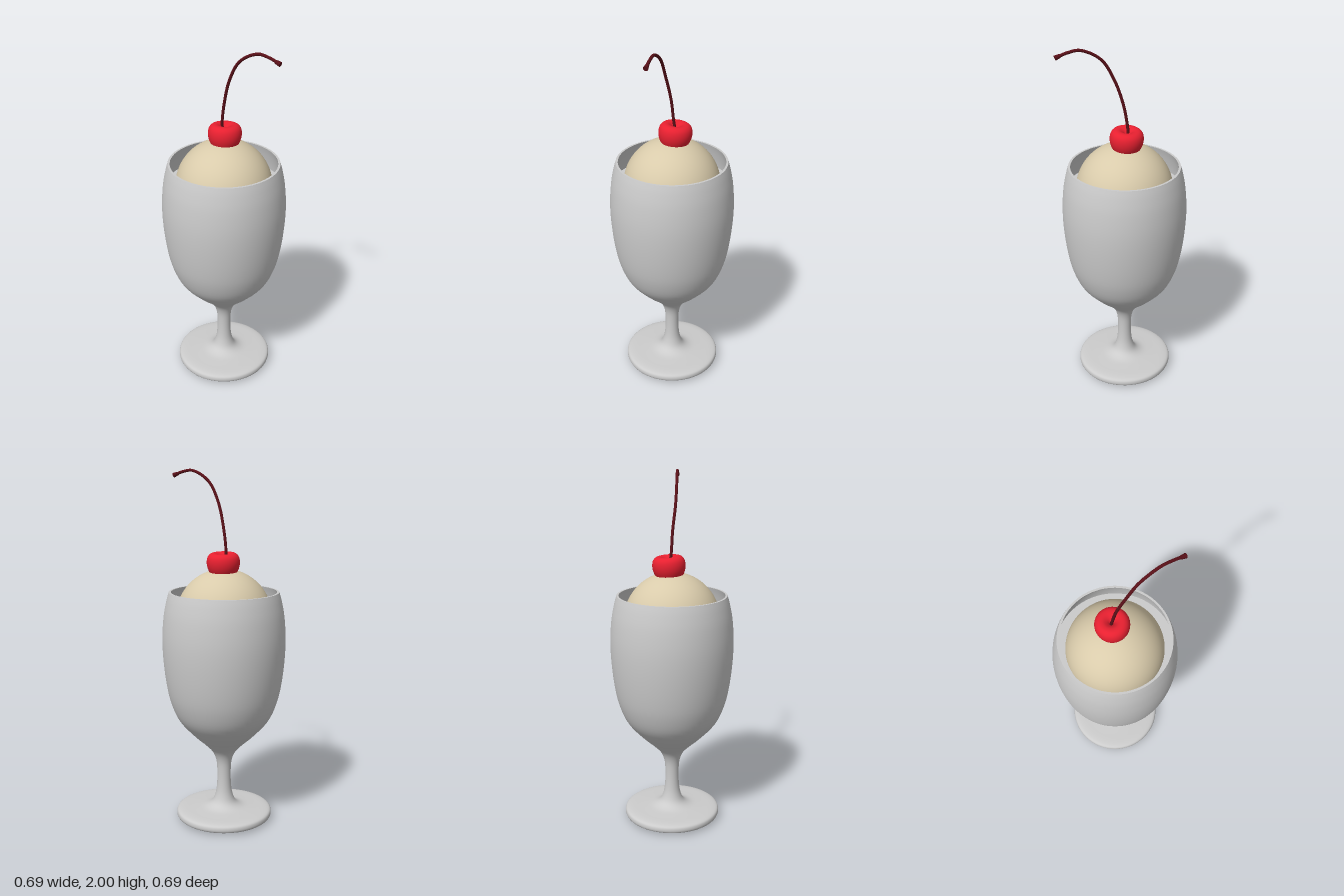
import * as THREE from 'three';

const V2 = (p) => new THREE.Vector2(p[0], p[1]);

// Smooth curve through [radius, height] pairs
const smooth = (pairs, n) => new THREE.SplineCurve(pairs.map(V2)).getPoints(n);

function addMesh(parent, name, geometry, color = 0xcccccc, side = THREE.FrontSide) {
  const mesh = new THREE.Mesh(geometry, new THREE.MeshStandardMaterial({ color, side }));
  mesh.name = name;
  parent.add(mesh);
  return mesh;
}

export function createModel() {
  const model = new THREE.Group();
  model.name = 'iceCreamGoblet';

  // Goblet: foot, stem and bowl turned as one outer profile
  const goblet = new THREE.Group();
  goblet.name = 'goblet';
  model.add(goblet);
  const outer = smooth([
    [0.255, 0.008], [0.272, 0.018], [0.276, 0.035], [0.268, 0.052], [0.235, 0.06],
    [0.17, 0.064], [0.11, 0.071], [0.07, 0.095], [0.05, 0.14], [0.041, 0.2], [0.039, 0.28],
    [0.045, 0.35], [0.068, 0.405], [0.115, 0.455], [0.175, 0.51], [0.255, 0.6], [0.3, 0.7],
    [0.325, 0.81], [0.341, 0.95], [0.345, 1.08], [0.336, 1.2], [0.32, 1.285], [0.306, 1.335],
  ], 88);
  addMesh(goblet, 'glassOutside', new THREE.LatheGeometry(outer, 64));

  // Flat underside of the foot
  const base = [[0, 0], [0.2, 0], [0.255, 0.008]].map(V2);
  addMesh(goblet, 'footUnderside', new THREE.LatheGeometry(base, 64));

  // Narrow rim and inner wall, running downwards
  const rim = [[0.306, 1.335], [0.294, 1.335]].map(V2);
  addMesh(goblet, 'rim', new THREE.LatheGeometry(rim, 64));
  const inner = smooth([
    [0.294, 1.335], [0.308, 1.285], [0.324, 1.2], [0.333, 1.08], [0.329, 0.95], [0.313, 0.81],
    [0.288, 0.7], [0.243, 0.61], [0.16, 0.52], [0.08, 0.465], [0, 0.445],
  ], 40);
  addMesh(goblet, 'glassInside', new THREE.LatheGeometry(inner, 64));

  // Level filling around the scoop
  const filling = addMesh(model, 'filling', new THREE.CircleGeometry(0.326, 64));
  filling.rotation.x = -Math.PI / 2;
  filling.position.y = 1.2;

  // Ice cream scoop
  const scoop = addMesh(model, 'scoop', new THREE.SphereGeometry(0.268, 64, 40), 0xd9cbab);
  scoop.position.y = 1.192;

  // Cherry with a dimple on top, leaning slightly
  const cherryProfile = smooth([
    [0, -0.075], [0.035, -0.073], [0.066, -0.055], [0.085, -0.02], [0.091, 0.015],
    [0.085, 0.045], [0.068, 0.062], [0.045, 0.064], [0.025, 0.054], [0.01, 0.04], [0, 0.036],
  ], 48);
  const cherry = addMesh(model, 'cherry', new THREE.LatheGeometry(cherryProfile, 48), 0xe82030);
  cherry.position.set(0, 1.485, -0.017);
  cherry.rotation.x = -0.08;

  // Arched cherry stalk
  const path = new THREE.CatmullRomCurve3([
    [-0.012, 1.515, -0.017], [-0.013, 1.56, -0.01], [0.004, 1.685, 0.005], [0.04, 1.82, 0.035],
    [0.1, 1.93, 0.064], [0.2, 1.988, 0.104], [0.265, 1.982, 0.129], [0.31, 1.967, 0.146],
  ].map((p) => new THREE.Vector3(...p)));
  addMesh(model, 'cherryStalk', new THREE.TubeGeometry(path, 64, 0.008, 10), 0x5a1018);

  // Thicker tip at the end of the stalk
  const tip = addMesh(model, 'stalkTip', new THREE.CylinderGeometry(0.013, 0.01, 0.028, 12), 0x5a1018);
  tip.position.copy(path.getPoint(1));
  tip.quaternion.setFromUnitVectors(new THREE.Vector3(0, 1, 0), path.getTangent(1));

  return model;
}
